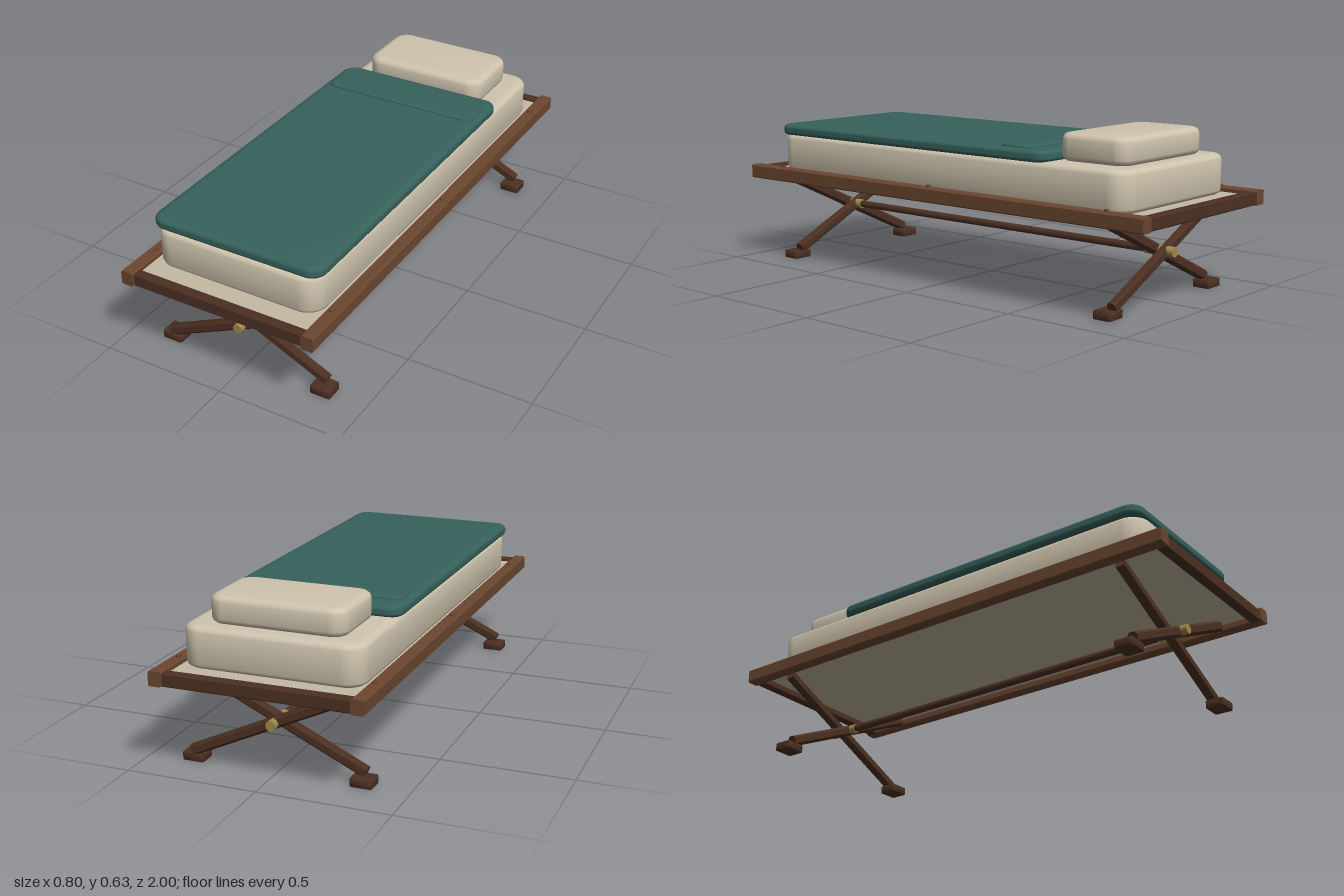
import * as THREE from 'three';
import { toCreasedNormals } from 'three/addons/utils/BufferGeometryUtils.js';

const paint = (color) => new THREE.MeshStandardMaterial({ color });
const railWood = paint(0x6b4630);
const darkWood = paint(0x4c3022);
const brass = paint(0xa08a4a);
const linen = paint(0xcfc4ae);
const canvas = paint(0xc4b9a3);
const wool = paint(0x37625c);

// Rounded rectangle in plan, extruded upward with a bevelled rim
function slab(w, h, d, radius, inset, rise, segments) {
  const a = w / 2 - inset, b = d / 2 - inset, r = radius;
  const s = new THREE.Shape();
  s.moveTo(-a + r, -b);
  s.lineTo(a - r, -b);
  s.absarc(a - r, -b + r, r, -Math.PI / 2, 0);
  s.lineTo(a, b - r);
  s.absarc(a - r, b - r, r, 0, Math.PI / 2);
  s.lineTo(-a + r, b);
  s.absarc(-a + r, b - r, r, Math.PI / 2, Math.PI);
  s.lineTo(-a, -b + r);
  s.absarc(-a + r, -b + r, r, Math.PI, Math.PI * 1.5);
  const geo = new THREE.ExtrudeGeometry(s, {
    depth: h - 2 * rise, bevelEnabled: true, bevelSize: inset,
    bevelThickness: rise, bevelSegments: segments, curveSegments: 6,
  });
  geo.rotateX(-Math.PI / 2);
  geo.translate(0, rise - h / 2, 0);
  return toCreasedNormals(geo, 0.7);
}

// Timber of w x h section with chamfered long edges, running along z
function beam(w, h, length, c) {
  const x = w / 2, y = h / 2;
  const s = new THREE.Shape([
    [-x + c, -y], [x - c, -y], [x, -y + c], [x, y - c],
    [x - c, y], [-x + c, y], [-x, y - c], [-x, -y + c],
  ].map(([px, py]) => new THREE.Vector2(px, py)));
  const geo = new THREE.ExtrudeGeometry(s, { depth: length, bevelEnabled: false });
  return geo.translate(0, 0, -length / 2);
}

export function createModel() {
  const model = new THREE.Group();
  const add = (name, geo, mat, x, y, z, parent = model) => {
    const mesh = new THREE.Mesh(geo, mat);
    mesh.name = name;
    mesh.position.set(x, y, z);
    parent.add(mesh);
    return mesh;
  };

  // Frame: side rails with pegs, end rails and the canvas bed
  for (const side of [-1, 1]) {
    const label = side > 0 ? 'left' : 'right';
    add(label + 'SideRail', beam(0.05, 0.056, 2, 0.005), railWood, side * 0.377, 0.36, 0);
    for (const z of [-0.83, 0, 0.83]) {
      add(label + 'RailPeg', new THREE.CylinderGeometry(0.009, 0.009, 0.012, 12),
        railWood, side * 0.373, 0.39, z);
    }
    add(side > 0 ? 'frontEndRail' : 'backEndRail', beam(0.04, 0.05, 0.71, 0.004),
      darkWood, 0, 0.357, side * 0.972).rotation.y = Math.PI / 2;
  }
  add('canvasBed', new THREE.BoxGeometry(0.71, 0.012, 1.92), canvas, 0, 0.364, 0);

  // Crossed leg pairs, feet and pivot bolts
  const tilt = 0.435;
  for (const end of [-1, 1]) {
    const legs = new THREE.Group();
    legs.name = end > 0 ? 'frontLegs' : 'backLegs';
    legs.position.z = end * 0.808;
    model.add(legs);
    for (const side of [-1, 1]) {
      const pivot = new THREE.Group();
      pivot.name = 'crossedLeg';
      pivot.position.set(0, 0.193, side * 0.019);
      pivot.rotation.z = side * tilt;
      legs.add(pivot);
      add('legBeam', beam(0.036, 0.042, 0.725, 0.009), darkWood, 0, 0, 0, pivot)
        .rotation.y = Math.PI / 2;
      add('foot', slab(0.084, 0.032, 0.074, 0.004, 0.004, 0.004, 2),
        darkWood, side * 0.325, 0.016, 0, legs);
    }
    add('pivotBolt', new THREE.CylinderGeometry(0.019, 0.019, 0.125, 20),
      brass, 0, 0.193, 0, legs).rotation.x = Math.PI / 2;
  }
  add('stretcherRod', new THREE.CylinderGeometry(0.015, 0.015, 1.56, 12),
    darkWood, 0, 0.193, 0).rotation.x = Math.PI / 2;

  // Bedding
  add('mattress', slab(0.686, 0.157, 1.764, 0.045, 0.032, 0.02, 3), linen, 0, 0.4465, 0);
  add('pillow', slab(0.522, 0.104, 0.305, 0.035, 0.028, 0.022, 3), linen, 0, 0.575, -0.675);
  add('blanket', slab(0.706, 0.047, 1.415, 0.03, 0.028, 0.016, 3), wool, 0, 0.5435, 0.172);
  add('blanketFold', slab(0.65, 0.022, 0.14, 0.02, 0.012, 0.008, 3), wool, 0, 0.566, -0.38);

  return model;
}
